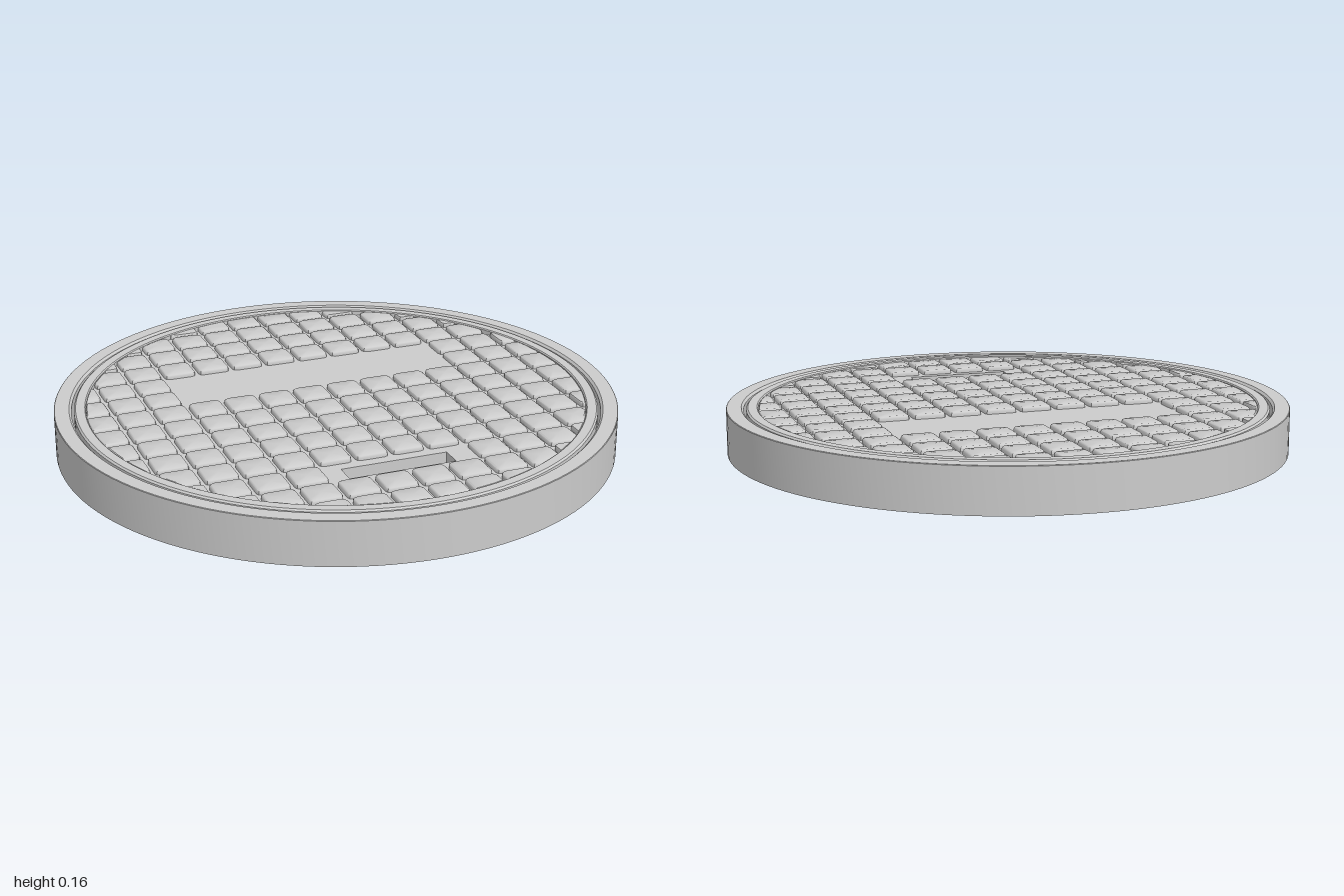
import * as THREE from 'three';
import { toCreasedNormals, mergeGeometries } from 'three/addons/utils/BufferGeometryUtils.js';

const PLATE_BOTTOM = 0.122, PLATE_TOP = 0.14, TOP = 0.16;
const PITCH = 0.1305, TILE = 0.116, LID_INNER = 0.888;
const SLOT = { x: -0.005, z: 0.588, w: 0.38, d: 0.076 };

const material = new THREE.MeshStandardMaterial({ color: 0xcccccc });

function add(group, name, geometry, crease = 0.5) {
  const mesh = new THREE.Mesh(toCreasedNormals(geometry, crease), material);
  mesh.name = name;
  group.add(mesh);
}

// Closed ring between two radii, with small chamfers on the top edges
function ring(inner, outer, bottom, top, bevelIn, bevelOut) {
  const profile = [
    [outer, bottom], [outer, top - bevelOut], [outer - bevelOut, top],
    [inner + bevelIn, top], [inner, top - bevelIn], [inner, bottom], [outer, bottom],
  ].map(([r, y]) => new THREE.Vector2(r, y));
  return new THREE.LatheGeometry(profile, 128);
}

function rectPath(path, cx, cy, w, h) {
  path.moveTo(cx - w / 2, cy - h / 2);
  path.lineTo(cx + w / 2, cy - h / 2);
  path.lineTo(cx + w / 2, cy + h / 2);
  path.lineTo(cx - w / 2, cy + h / 2);
  path.closePath();
  return path;
}

// Extrude a plan shape (x, -z) upwards between two heights
function slab(shape, bottom, top) {
  const g = new THREE.ExtrudeGeometry(shape, { depth: top - bottom, bevelEnabled: false, curveSegments: 96 });
  return g.rotateX(-Math.PI / 2).translate(0, bottom, 0);
}

// Rounded square outline, counter-clockwise in plan (x, -z)
function tileOutline(cx, cy) {
  const r = 0.016, h = TILE / 2 - r, points = [];
  for (let corner = 0; corner < 4; corner++) {
    const mid = Math.PI / 4 + corner * Math.PI / 2;
    for (let i = -1; i <= 1; i++) {
      const a = mid + i * Math.PI / 4;
      points.push(new THREE.Vector2(
        cx + Math.sign(Math.cos(mid)) * h + Math.cos(a) * r,
        cy + Math.sign(Math.sin(mid)) * h + Math.sin(a) * r));
    }
  }
  return points;
}

// Trim a convex outline to a circle, one tangent line at a time
function clipToCircle(points, radius) {
  const sides = 120;
  for (let s = 0; s < sides && points.length; s++) {
    const n = new THREE.Vector2(Math.cos(s / sides * 2 * Math.PI), Math.sin(s / sides * 2 * Math.PI));
    const kept = [];
    points.forEach((p, i) => {
      const q = points[(i + 1) % points.length];
      const dp = p.dot(n) - radius, dq = q.dot(n) - radius;
      if (dp <= 0) kept.push(p);
      if (dp * dq < 0) kept.push(p.clone().lerp(q, dp / (dp - dq)));
    });
    points = kept;
  }
  return points;
}

// Raised tile: stacked outlines that shrink at the top for a soft edge
function tileGeometry(outline) {
  const n = outline.length;
  const c = outline.reduce((sum, p) => sum.add(p), new THREE.Vector2()).divideScalar(n);
  const levels = [[1, PLATE_TOP - 0.002], [1, 0.148], [0.96, 0.154], [0.88, 0.157]];
  const position = [], index = [];
  for (const [scale, y] of levels) {
    for (const p of outline) {
      position.push(c.x + (p.x - c.x) * scale, y, -(c.y + (p.y - c.y) * scale));
    }
  }
  for (let l = 0; l < levels.length - 1; l++) {
    for (let i = 0; i < n; i++) {
      const a = l * n + i, b = l * n + (i + 1) % n;
      index.push(a, b, b + n, a, b + n, a + n);
    }
  }
  const last = (levels.length - 1) * n;
  position.push(c.x, levels[levels.length - 1][1], -c.y);
  for (let i = 0; i < n; i++) index.push(last + i, last + (i + 1) % n, last + n);
  const g = new THREE.BufferGeometry();
  g.setAttribute('position', new THREE.Float32BufferAttribute(position, 3));
  g.setIndex(index);
  return g;
}

function tileGrid() {
  const tiles = [];
  for (let row = -7; row <= 7; row++) {
    for (let col = -7; col < 7; col++) {
      const x = (col + 0.5) * PITCH, z = -0.069 + row * PITCH;
      const blankPanel = (row === -1 || row === -2) && Math.abs(x) < 0.5;
      const slotGap = row === 5 && Math.abs(x) < 0.25;
      if (blankPanel || slotGap) continue;
      const outline = clipToCircle(tileOutline(x, -z), LID_INNER);
      if (outline.length < 3 || Math.abs(THREE.ShapeUtils.area(outline)) < 0.0006) continue;
      tiles.push(tileGeometry(outline));
    }
  }
  return mergeGeometries(tiles);
}

export function createModel() {
  const model = new THREE.Group();
  model.name = 'manholeCover';

  // Fixed outer frame
  add(model, 'frame', ring(0.939, 1, 0, TOP, 0.008, 0.002));

  // Lid: rim wall, thin plate with slot, tiles
  const lid = new THREE.Group();
  lid.name = 'lid';
  model.add(lid);
  add(lid, 'lidRim', ring(LID_INNER, 0.93, 0, TOP, 0.004, 0.006));

  const plate = new THREE.Shape().absarc(0, 0, LID_INNER + 0.006, 0, Math.PI * 2);
  plate.holes.push(rectPath(new THREE.Path(), SLOT.x, -SLOT.z, SLOT.w, SLOT.d));
  add(lid, 'plate', slab(plate, PLATE_BOTTOM, PLATE_TOP));

  add(lid, 'treadTiles', tileGrid(), 0.7);

  // Sleeve hanging below the lifting slot
  const sleeve = rectPath(new THREE.Shape(), SLOT.x, -SLOT.z, SLOT.w + 0.012, SLOT.d + 0.012);
  sleeve.holes.push(rectPath(new THREE.Path(), SLOT.x, -SLOT.z, SLOT.w, SLOT.d));
  add(lid, 'slotSleeve', slab(sleeve, 0.035, PLATE_TOP - 0.001));

  return model;
}
